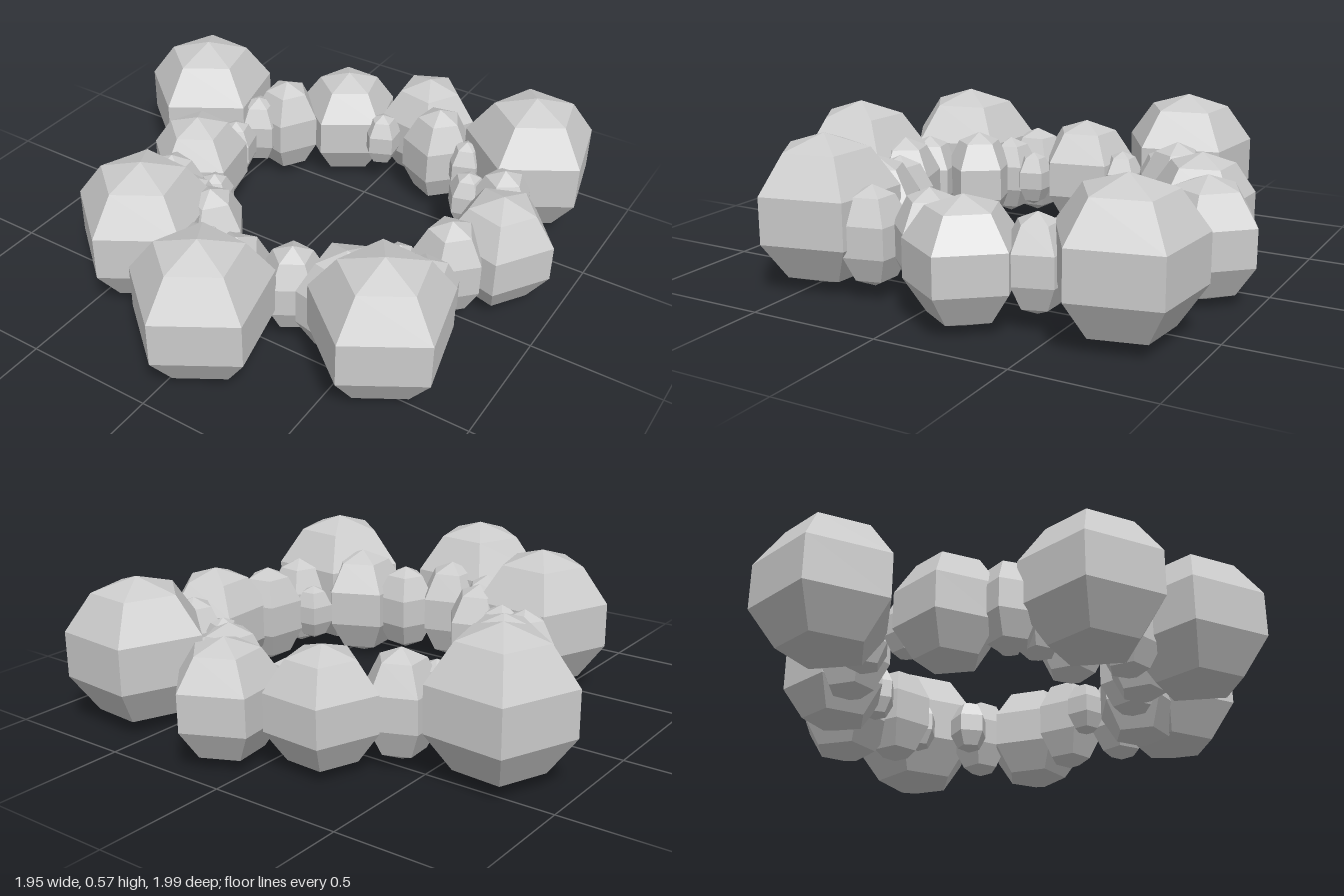
import * as THREE from 'three';

// Ring of faceted boulders, pebbles filling the gaps.
export function createModel() {
  const group = new THREE.Group();
  group.name = 'stoneRing';
  const material = new THREE.MeshStandardMaterial({ color: 0xcccccc, flatShading: true });
  const geometry = new THREE.SphereGeometry(1, 5, 5);

  // A five-sided stone: turn is the direction of one corner, in degrees from +x towards +z
  function stone(name, x, y, z, radius, halfHeight, turn) {
    const mesh = new THREE.Mesh(geometry, material);
    mesh.name = name;
    mesh.position.set(x, y, z);
    mesh.scale.set(radius, halfHeight, radius);
    mesh.rotation.y = Math.PI - THREE.MathUtils.degToRad(turn);
    group.add(mesh);
  }

  // Large boulders, all turned alike: x, z
  const boulders = [[0.06, 0.725], [0.63, 0.466], [-0.387, 0.475], [-0.725, -0.39], [0.635, -0.725]];
  boulders.forEach(([x, z], i) => stone('boulder' + (i + 1), x, 0.293, z, 0.282, 0.282, 22.5));

  // Medium rocks: x, z, radius, turn
  const rocks = [
    [0.13, -0.8, 0.213, 65], [-0.185, -0.66, 0.218, 21], [0.755, -0.195, 0.22, 69],
    [-0.51, -0.02, 0.208, 24], [0.44, 0.385, 0.19, 66],
  ];
  rocks.forEach(([x, z, r, turn], i) => stone('rock' + (i + 1), x, 0.237, z, r, 0.228, turn));

  // Small upright stones and pebbles: x, z, radius, turn
  const pebbles = [
    [0.265, -0.635, 0.15, 8], [-0.385, -0.48, 0.15, 68], [-0.465, -0.385, 0.11, 25],
    [0.02, -0.6, 0.085, 30], [0.66, -0.42, 0.128, 18], [0.515, -0.41, 0.085, 38],
    [0.41, -0.605, 0.085, 34], [0.65, 0.005, 0.145, 8], [0.51, 0.13, 0.083, 14],
    [0.67, 0.23, 0.135, 22], [0.235, 0.415, 0.13, 23], [0.06, 0.51, 0.15, 2],
    [-0.115, 0.51, 0.13, 5], [-0.195, 0.32, 0.145, 2], [-0.475, 0.195, 0.13, 30],
    [-0.32, 0.13, 0.08, 20], [-0.46, -0.21, 0.09, 20], [-0.34, 0.25, 0.115, 22],
  ];
  pebbles.forEach(([x, z, r, turn], i) => stone('pebble' + (i + 1), x, 0.237, z, r, 1.38 * r, turn));

  return group;
}
